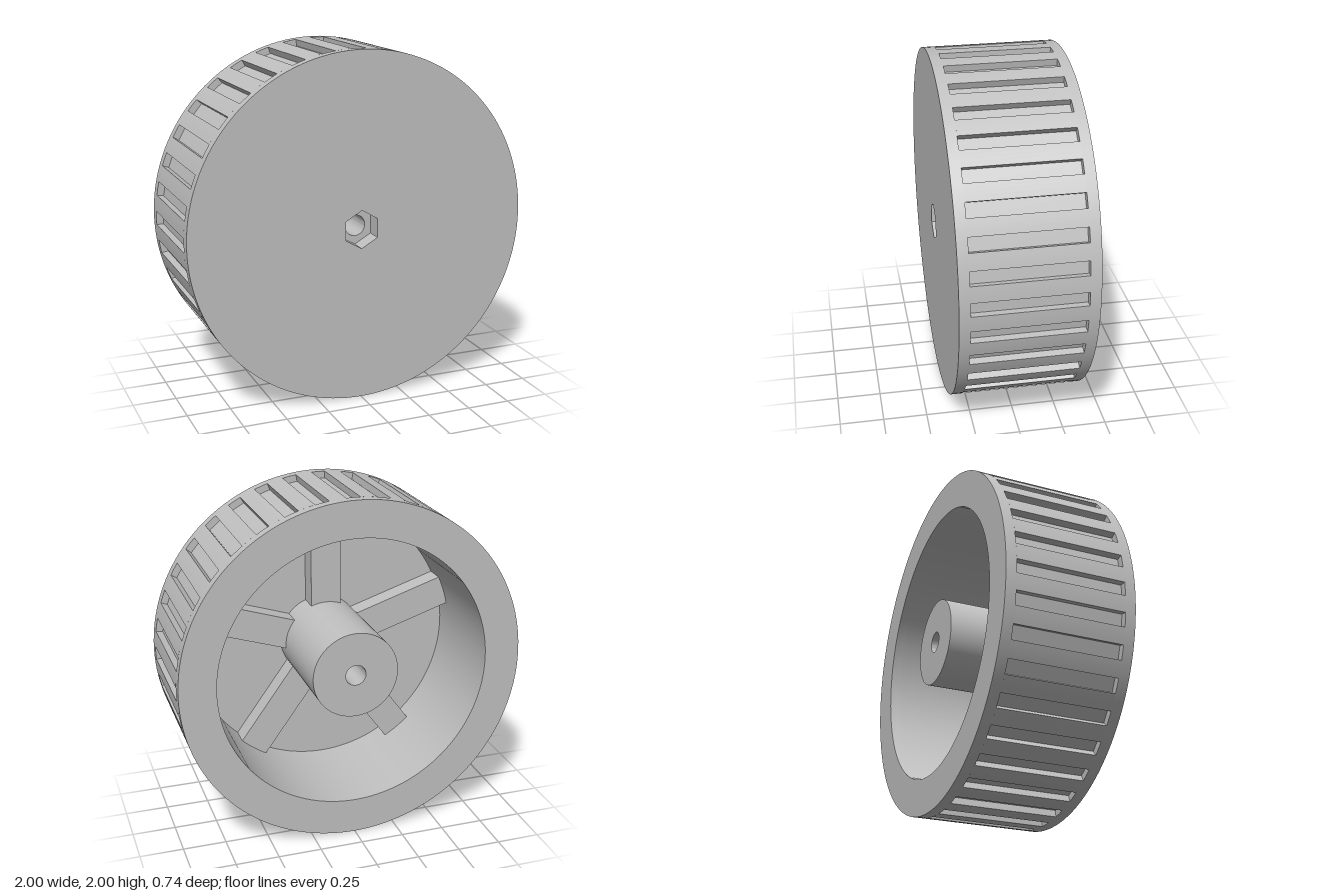
import * as THREE from 'three';
import { toCreasedNormals } from 'three/addons/utils/BufferGeometryUtils.js';

const OUTER = 1, INNER = 0.79, HUB = 0.25, BORE = 0.06, HEX = 0.11;
const BACK = -0.37, FRONT = 0.37, WEB = 0.29, SLOT_END = 0.31;
const SLOTS = 36, SLOT_HALF = 0.04, SLOT_DEPTH = 0.04, RIBS = 5;

const circle = (r, Kind = THREE.Shape) => new Kind().absarc(0, 0, r, 0, Math.PI * 2, false);

function hexHole() {
  const pts = [];
  for (let i = 0; i < 6; i++) {
    const a = Math.PI / 6 + i * Math.PI / 3;
    pts.push(new THREE.Vector2(HEX * Math.cos(a), HEX * Math.sin(a)));
  }
  return new THREE.Path(pts);
}

// Circle with rectangular notches cut at even angles
function notchedCircle() {
  const pts = [], step = Math.PI * 2 / SLOTS;
  const half = Math.asin(SLOT_HALF / OUTER), arcSteps = 4;
  for (let i = 0; i < SLOTS; i++) {
    const a = i * step, c = Math.cos(a), s = Math.sin(a), r = OUTER - SLOT_DEPTH;
    for (const t of [-SLOT_HALF, SLOT_HALF]) {
      pts.push(new THREE.Vector2(r * c - t * s, r * s + t * c));
    }
    for (let k = 0; k <= arcSteps; k++) {
      const b = a + half + (step - 2 * half) * k / arcSteps;
      pts.push(new THREE.Vector2(OUTER * Math.cos(b), OUTER * Math.sin(b)));
    }
  }
  return new THREE.Shape(pts);
}

export function createModel() {
  const wheel = new THREE.Group();
  wheel.name = 'wheel';
  wheel.position.y = OUTER;
  const grey = new THREE.MeshStandardMaterial({ color: 0xc0c0c0 });
  grey.name = 'grey';

  function addMesh(name, geometry) {
    const mesh = new THREE.Mesh(geometry, grey);
    mesh.name = name;
    wheel.add(mesh);
    return mesh;
  }

  // Extrude an outline with one hole between two depths
  function addSlab(name, shape, hole, z0, z1) {
    shape.holes.push(hole);
    const geo = new THREE.ExtrudeGeometry(shape, { depth: z1 - z0, bevelEnabled: false, curveSegments: 72 });
    geo.translate(0, 0, z0);
    addMesh(name, toCreasedNormals(geo, 0.5));
  }

  // Rim: slotted tread between two plain edges
  addSlab('backRim', circle(OUTER), circle(INNER, THREE.Path), BACK, -SLOT_END);
  addSlab('slottedTread', notchedCircle(), circle(INNER, THREE.Path), -SLOT_END, SLOT_END);
  addSlab('frontPlate', circle(OUTER), hexHole(), SLOT_END, FRONT);
  addSlab('innerWeb', circle(INNER), circle(HUB, THREE.Path), WEB, SLOT_END);

  // Hub: bored shaft with a hexagonal nut recess at the front
  addSlab('hub', circle(HUB), circle(BORE, THREE.Path), BACK, FRONT - 0.1);
  addSlab('hubNutRecess', circle(HUB), hexHole(), FRONT - 0.1, SLOT_END);

  // Ribs joining hub and rim on the inner face
  const r0 = HUB - 0.03, r1 = INNER + 0.01, height = 0.12;
  for (let i = 0; i < RIBS; i++) {
    const geo = new THREE.BoxGeometry(r1 - r0, 0.18, height);
    geo.translate((r0 + r1) / 2, 0, WEB - height / 2);
    addMesh('rib' + (i + 1), geo).rotation.z = Math.PI / 2 + i * Math.PI * 2 / RIBS;
  }

  const model = new THREE.Group();
  model.name = 'slottedWheel';
  model.add(wheel);
  return model;
}
